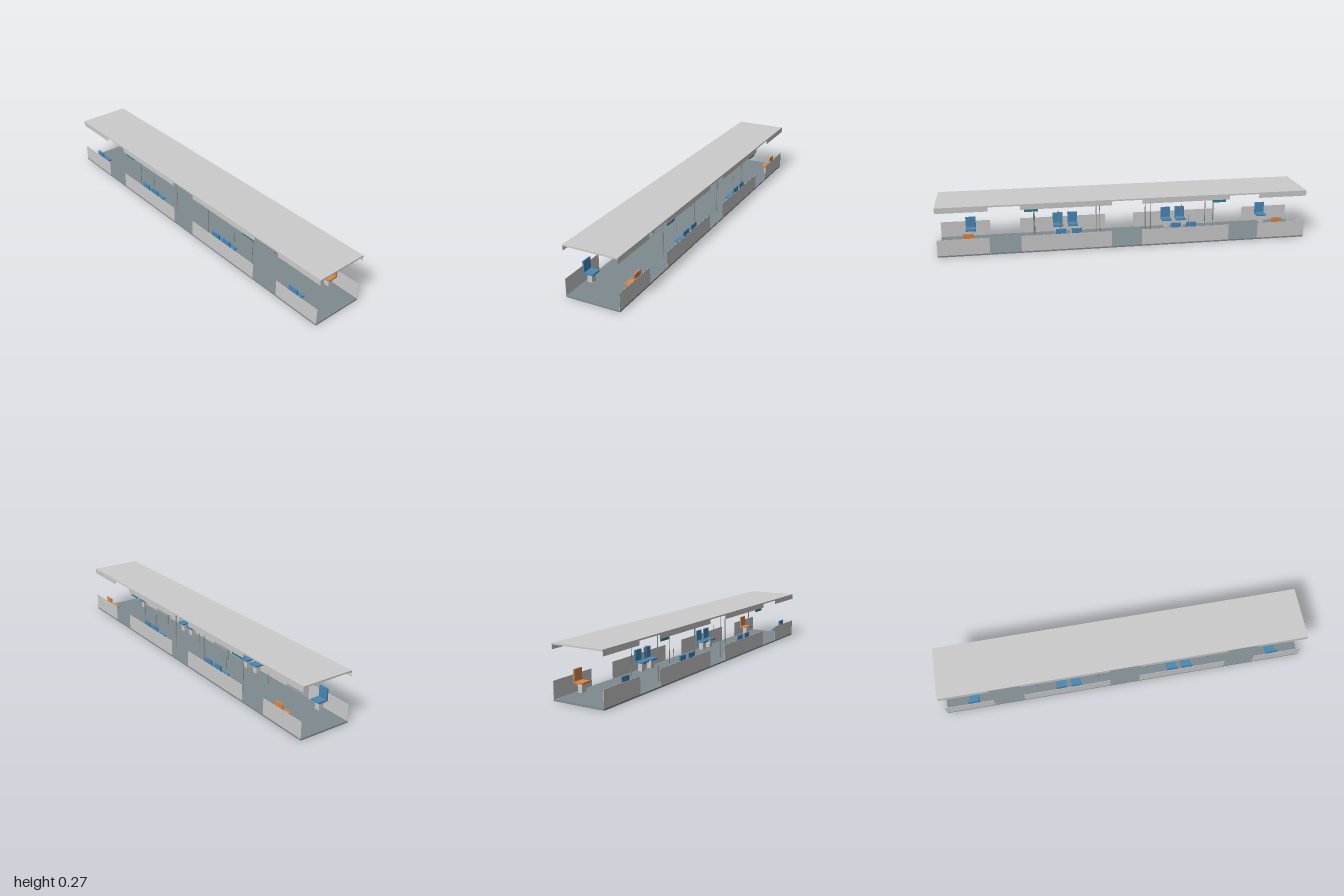
import * as THREE from 'three';

const mat = (color) => new THREE.MeshStandardMaterial({ color });

export function createModel() {
  const root = new THREE.Group();
  root.name = 'railCarInterior';

  const grey = mat(0xcccccc);
  const floorGrey = mat(0x7f8b90);
  const metal = mat(0x8a8a8a);
  const blue = mat(0x4a88b5);
  const orange = mat(0xd8884a);
  const teal = mat(0x2f8296);

  // Box given by its min and max corners
  function box(name, material, [x0, y0, z0], [x1, y1, z1], parent = root) {
    const mesh = new THREE.Mesh(new THREE.BoxGeometry(x1 - x0, y1 - y0, z1 - z0), material);
    mesh.position.set((x0 + x1) / 2, (y0 + y1) / 2, (z0 + z1) / 2);
    mesh.name = name;
    parent.add(mesh);
    return mesh;
  }

  // Round bar centred on a point, upright or running along z
  function bar(name, radius, length, x, y, z, alongZ = false) {
    const mesh = new THREE.Mesh(new THREE.CylinderGeometry(radius, radius, length, 12), metal);
    if (alongZ) mesh.rotation.x = Math.PI / 2;
    mesh.position.set(x, y, z);
    mesh.name = name;
    root.add(mesh);
  }

  // Seat against a side wall, facing the aisle
  function seat(side, z, material) {
    const group = new THREE.Group();
    group.name = 'seat';
    box('pedestal', grey, [-0.013, 0.008, -0.015], [0.013, 0.052, 0.015], group);
    box('cushion', material, [-0.028, 0.052, -0.0275], [0.028, 0.061, 0.0275], group);
    box('backrest', material, [0.02, 0.061, -0.0275], [0.028, 0.12, 0.0275], group);
    group.position.set(side * 0.114, 0, z);
    if (side < 0) group.rotation.y = Math.PI;
    root.add(group);
  }

  // Floor and roof slabs
  box('floor', floorGrey, [-0.144, 0, -1], [0.144, 0.008, 1]);
  box('roof', grey, [-0.144, 0.262, -1], [0.144, 0.27, 1]);

  for (const side of [-1, 1]) {
    // Ceiling rail along the aisle
    bar('ceilingRail', 0.002, 1.8, side * 0.083, 0.26, 0, true);

    for (const end of [-1, 1]) {
      // Wall panels below and above the windows, with gaps for the doors
      for (const [a, b] of [[0.082, 0.565], [0.73, 1]]) {
        const z0 = Math.min(a * end, b * end);
        const z1 = Math.max(a * end, b * end);
        const x0 = side > 0 ? 0.1425 : -0.144;
        box('lowerWall', grey, [x0, 0.008, z0], [x0 + 0.0015, 0.095, z1]);
        box('upperWall', grey, [x0, 0.24, z0], [x0 + 0.0015, 0.262, z1]);
      }

      // Paired seats amidships and one single seat at each end
      seat(side, end * 0.27, blue);
      seat(side, end * 0.353, blue);
      seat(side, end * 0.837, side > 0 ? orange : blue);

      // Floor-to-ceiling poles beside the doors
      for (const z of [0.14, 0.49]) bar('pole', 0.0022, 0.251, side * 0.08, 0.1335, end * z);

      // Short grab bar at the aisle edge of the seats
      bar('grabBar', 0.002, 0.064, side * 0.085, 0.116, end * 0.353);

      // Information display hung beneath the roof edge
      const x = side * 0.1355;
      box('display', teal, [x - 0.003, 0.225, end * 0.508 - 0.037], [x + 0.003, 0.252, end * 0.508 + 0.037]);
    }
  }

  return root;
}
